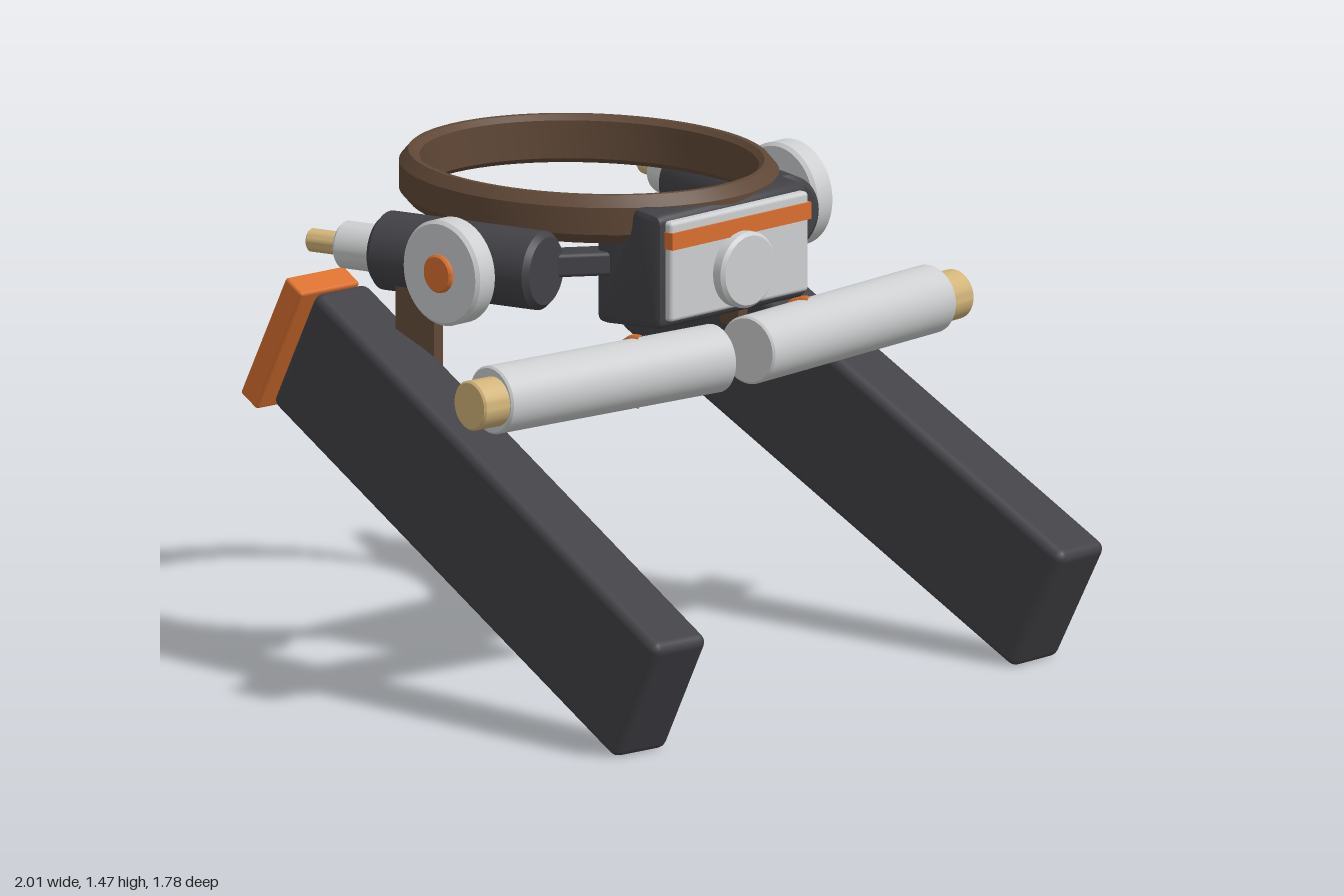
import * as THREE from 'three';
import { toCreasedNormals } from 'three/addons/utils/BufferGeometryUtils.js';
import { RoundedBoxGeometry } from 'three/addons/geometries/RoundedBoxGeometry.js';

const colour = (name, color) => {
  const m = new THREE.MeshStandardMaterial({ color });
  m.name = name;
  return m;
};
const V = (x, y, z) => new THREE.Vector3(x, y, z);
const UP = V(0, 1, 0);

export function createModel() {
  const model = new THREE.Group();
  model.name = 'model';
  const dark = colour('charcoal', 0x424146);
  const light = colour('light grey', 0xcdcecf);
  const orange = colour('orange', 0xd96f2f);
  const brown = colour('brown', 0x604837);
  const gold = colour('brass', 0xd2b47a);

  const add = (name, geometry, material, parent = model) => {
    const mesh = new THREE.Mesh(geometry, material);
    mesh.name = name;
    parent.add(mesh);
    return mesh;
  };
  const lathe = (pts, segments = 48) => toCreasedNormals(
    new THREE.LatheGeometry(pts.map(([r, y]) => new THREE.Vector2(r, y)), segments), 0.5);

  // Solid rod between two points with a small chamfer at both ends
  const rod = (name, a, b, r, material, bevel = 0.01) => {
    const h = a.distanceTo(b) / 2;
    const mesh = add(name, lathe([[0, -h], [r - bevel, -h], [r, -h + bevel],
      [r, h - bevel], [r - bevel, h], [0, h]]), material);
    mesh.position.copy(a).lerp(b, 0.5);
    mesh.quaternion.setFromUnitVectors(UP, b.clone().sub(a).normalize());
    return mesh;
  };

  // Oval ring with chamfered rims
  const ring = add('ovalRing', lathe([[0.455, 1.35], [0.47, 1.335], [0.485, 1.335], [0.51, 1.365],
    [0.51, 1.445], [0.485, 1.477], [0.47, 1.477], [0.455, 1.462], [0.455, 1.35]], 72), brown);
  ring.scale.z = 0.583 / 0.51;
  ring.position.z = -0.307;

  // Stepped central housing, drawn as a side profile and extruded across
  const profile = new THREE.Shape();
  profile.moveTo(0.25, 1.10);
  profile.lineTo(0.05, 1.085);
  profile.quadraticCurveTo(0.02, 1.085, 0.02, 1.115);
  profile.lineTo(0.02, 1.33);
  profile.quadraticCurveTo(0.02, 1.355, 0.05, 1.357);
  profile.lineTo(0.11, 1.36);
  profile.quadraticCurveTo(0.155, 1.365, 0.16, 1.41);
  profile.quadraticCurveTo(0.162, 1.447, 0.19, 1.447);
  profile.lineTo(0.25, 1.44);
  profile.quadraticCurveTo(0.28, 1.437, 0.28, 1.41);
  profile.lineTo(0.28, 1.13);
  profile.quadraticCurveTo(0.28, 1.10, 0.25, 1.10);
  const body = new THREE.ExtrudeGeometry(profile, {
    depth: 0.57, bevelSize: 0.02, bevelThickness: 0.02, bevelOffset: -0.02,
    bevelSegments: 2, curveSegments: 6,
  });
  body.translate(0, 0, -0.285);
  body.rotateY(-Math.PI / 2);
  add('housing', toCreasedNormals(body, 0.6), dark);

  // Front panel, stripe and round button
  add('frontPanel', new RoundedBoxGeometry(0.565, 0.295, 0.04, 2, 0.012), light)
    .position.set(0, 1.273, 0.285);
  add('panelStripe', new THREE.BoxGeometry(0.57, 0.05, 0.045), orange).position.set(0, 1.365, 0.289);
  rod('roundButton', V(0, 1.24, 0.29), V(0, 1.24, 0.345), 0.112, light);

  for (const s of [1, -1]) {
    const side = s > 0 ? 'left' : 'right';

    // Front roller tube with brass tip and a half clip round its back
    const inner = V(s * 0.065, 0.98, 0.268), outer = V(s * 0.902, 0.98, 0.183);
    rod(side + 'FrontTube', inner, outer, 0.1, light, 0.006);
    rod(side + 'FrontTubeTip', V(s * 0.88, 0.98, 0.203), V(s * 0.996, 0.98, 0.191), 0.073, gold, 0.006);
    const clip = add(side + 'TubeClip', new THREE.TorusGeometry(0.092, 0.018, 10, 32, Math.PI * 1.06), orange);
    clip.geometry.rotateZ(-Math.PI * 0.53);
    clip.geometry.rotateY(Math.PI / 2);
    clip.position.set(s * 0.345, 0.98, 0.238);
    clip.rotation.y = s * 0.1;

    // Angled arm cylinder with stepped rear nozzle
    const at = (t) => V(s * (0.494 + 0.2465 * t), 1.265, 0.008 - 0.969 * t);
    rod(side + 'Arm', at(0), at(0.543), 0.115, dark, 0.016);
    rod(side + 'ArmCollar', at(0.5), at(0.678), 0.069, light, 0.008);
    rod(side + 'ArmNozzle', at(0.65), at(0.787), 0.034, gold, 0.004);

    // Strut from housing to arm
    const strut = add(side + 'Strut', new RoundedBoxGeometry(0.38, 0.07, 0.1, 2, 0.012), dark);
    strut.position.set(s * 0.37, 1.265, -0.03);
    strut.rotation.y = s * 0.62;

    // Side wheel and hub
    rod(side + 'Wheel', V(s * 0.652, 1.265, -0.19), V(s * 0.732, 1.265, -0.19), 0.155, light, 0.01);
    rod(side + 'WheelHub', V(s * 0.7, 1.265, -0.19), V(s * 0.746, 1.265, -0.19), 0.056, orange, 0.006);

    // Bracket joining arm and leg
    const bracket = add(side + 'Bracket', new THREE.BoxGeometry(0.05, 0.36, 0.13), brown);
    bracket.position.set(s * 0.645, 1.04, -0.358);
    bracket.rotation.y = -s * 0.24;

    // Sloping leg with end cap
    const leg = new THREE.Group();
    leg.name = side + 'Leg';
    leg.position.set(s * 0.763, 0.578, 0.045);
    leg.rotation.set(0.487, s * 0.072, 0, 'YXZ');
    model.add(leg);
    add(side + 'LegBeam', new RoundedBoxGeometry(0.205, 0.412, 1.7, 2, 0.03), dark, leg);
    add(side + 'LegCap', new RoundedBoxGeometry(0.225, 0.427, 0.082, 2, 0.01), orange, leg)
      .position.set(s * 0.046, 0, -0.879);
  }
  return model;
}
